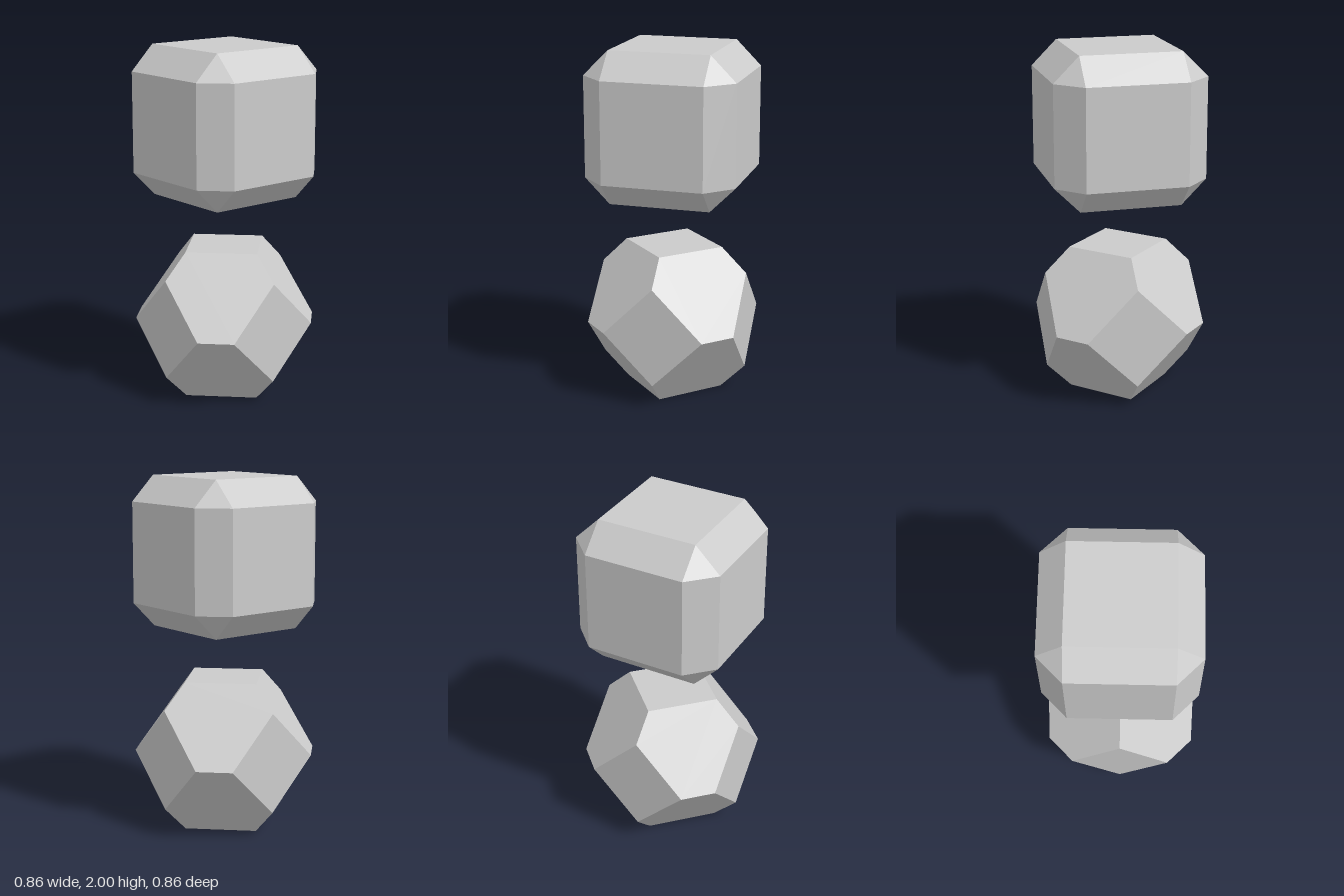
import * as THREE from 'three';
import { ConvexGeometry } from 'three/addons/geometries/ConvexGeometry.js';

const UNIT = 1 / 7; // every corner lies on a whole-number lattice of this size

// All distinct permutations and sign changes of a coordinate triple
function symmetricPoints(a, b, c) {
  const points = new Map();
  const orders = [[a, b, c], [a, c, b], [b, a, c], [b, c, a], [c, a, b], [c, b, a]];
  for (const [x, y, z] of orders)
    for (const sx of x ? [1, -1] : [1])
      for (const sy of y ? [1, -1] : [1])
        for (const sz of z ? [1, -1] : [1]) {
          const p = new THREE.Vector3(x * sx, y * sy, z * sz);
          points.set(p.toArray().join(), p);
        }
  return [...points.values()];
}

function polyhedron(name, triple, centerY) {
  const geometry = new ConvexGeometry(symmetricPoints(...triple));
  geometry.scale(UNIT, UNIT, UNIT);
  const material = new THREE.MeshStandardMaterial({ color: 0xcccccc, flatShading: true });
  const mesh = new THREE.Mesh(geometry, material);
  mesh.name = name;
  mesh.position.y = centerY * UNIT;
  return mesh;
}

export function createModel() {
  const model = new THREE.Group();
  model.name = 'polyhedronPair';
  // Lower solid: six squares and eight hexagons
  model.add(polyhedron('truncatedOctahedron', [0, 2, 3], 3));
  // Upper solid: cube with bevelled edges and triangular corners
  model.add(polyhedron('bevelledCube', [2, 2, 3], 11));
  return model;
}
